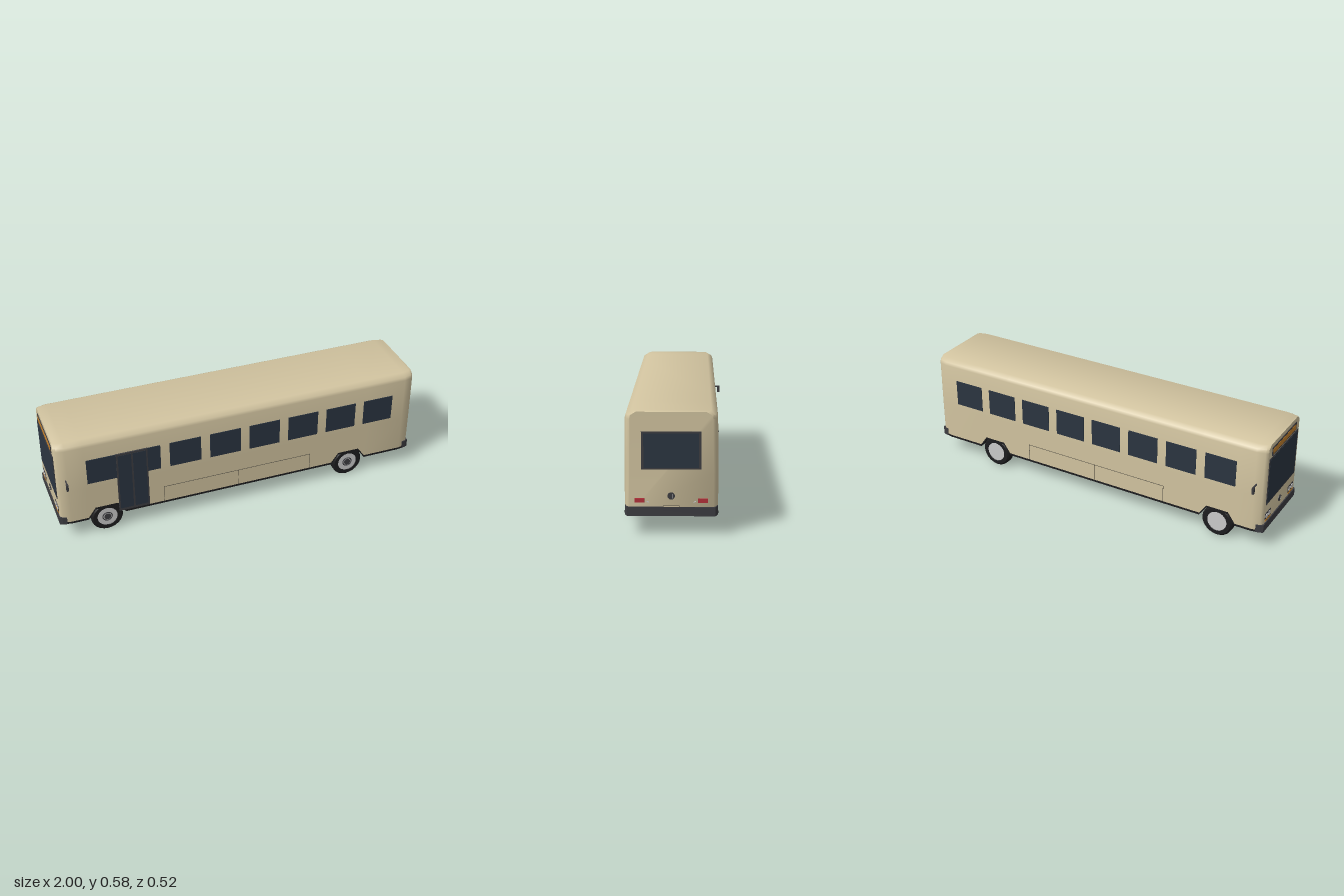
import * as THREE from 'three';
import { toCreasedNormals } from 'three/addons/utils/BufferGeometryUtils.js';

const paint = (color) => new THREE.MeshStandardMaterial({ color });
const BODY = paint(0xd2c4a0), GLASS = paint(0x2b3541), DARK = paint(0x3d3d41), BLACK = paint(0x1d1d1f),
  RED = paint(0xb5303a), ORANGE = paint(0xc4822e), METAL = paint(0xcccccc), LINE = paint(0x5c574a);
const WHEELS = [-0.75, 0.625];

function add(parent, name, geometry, material) {
  const mesh = new THREE.Mesh(geometry, material);
  mesh.name = name;
  parent.add(mesh);
  return mesh;
}

// Box given by its limits on each axis
function box(parent, name, material, x0, x1, y0, y1, z0, z1) {
  const mesh = add(parent, name, new THREE.BoxGeometry(x1 - x0, y1 - y0, Math.abs(z1 - z0)), material);
  mesh.position.set((x0 + x1) / 2, (y0 + y1) / 2, (z0 + z1) / 2);
  return mesh;
}

// Loft of rings of [y, z] points placed along x, closed at both ends
function loft(stations, ringAt) {
  const pos = [], index = [];
  const n = ringAt(stations[0]).length, last = (stations.length - 1) * n;
  stations.forEach((s) => ringAt(s).forEach(([y, z]) => pos.push(s.x, y, z)));
  for (let i = 0; i < stations.length - 1; i++) {
    for (let j = 0; j < n - 1; j++) {
      const a = i * n + j, b = a + n;
      index.push(a, b, b + 1, a, b + 1, a + 1);
    }
  }
  for (let j = 1; j < n - 1; j++) index.push(0, j, j + 1, last, last + j + 1, last + j);
  const g = new THREE.BufferGeometry();
  g.setAttribute('position', new THREE.Float32BufferAttribute(pos, 3));
  g.setIndex(index);
  return toCreasedNormals(g, 0.8);
}

// Stations: rounded corners at both ends, raised bottom over the wheels
function bodyStations() {
  const list = [];
  for (const [x, w] of [[0.994, 0.195], [0.982, 0.207], [0.94, 0.217]]) {
    list.push({ x, w, yb: 0.095 }, { x: -x, w, yb: 0.095 });
  }
  for (const c of WHEELS) {
    for (const [dx, yb] of [[0.1, 0.095], [0.06, 0.151]]) {
      list.push({ x: c - dx, w: 0.217, yb }, { x: c + dx, w: 0.217, yb });
    }
  }
  return list.sort((a, b) => a.x - b.x);
}

function buildShell(root) {
  const stations = bodyStations();
  add(root, 'bodyShell', loft(stations, ({ w, yb }) => {
    const half = [[yb + 0.005, w], [0.3, w], [0.55, w - 0.003], [0.567, w - 0.008], [0.583, w - 0.034]];
    return [...half, ...half.map(([y, z]) => [y, -z]).reverse()];
  }), BODY);
  // Dark underside with skirt edge, wheel arch lips and tunnels
  add(root, 'underside', loft(stations, ({ w, yb }) => {
    const e = w + 0.0015;
    return [[yb + 0.012, -e], [yb, -e], [yb, e], [yb + 0.012, e]];
  }), BLACK);
}

function buildSide(root, s) {
  const z0 = s * 0.205, z1 = s * 0.2185;
  for (let i = 0; i < 8; i++) {
    const x = -0.84 + i * 0.22;
    box(root, 'sideWindow', GLASS, x, x + 0.17, 0.325, 0.47, z0, z1);
  }
  // Luggage hatch outline
  const t = 0.002;
  box(root, 'hatchTopSeam', LINE, -0.44, 0.395, 0.199, 0.199 + t, z0, s * 0.219);
  for (const x of [-0.44, -0.023, 0.393]) box(root, 'hatchSeam', LINE, x, x + t, 0.105, 0.2, z0, s * 0.219);
  // Mirror on a short arm near the front
  box(root, 'mirrorArm', DARK, -0.953, -0.947, 0.369, 0.375, s * 0.21, s * 0.26);
  box(root, 'mirrorHead', DARK, -0.956, -0.945, 0.337, 0.373, s * 0.244, s * 0.259);
}

function buildDoor(root) {
  const door = new THREE.Group();
  door.name = 'door';
  root.add(door);
  box(door, 'doorFrame', DARK, -0.685, -0.52, 0.11, 0.472, 0.2, 0.223);
  for (const x of [-0.677, -0.598]) box(door, 'doorGlass', GLASS, x, x + 0.07, 0.125, 0.462, 0.21, 0.2245);
}

function buildWheel(root, x, s) {
  const wheel = new THREE.Group();
  wheel.name = 'wheel';
  const profile = [[0.05, -0.028], [0.076, -0.028], [0.085, -0.019], [0.085, 0.019], [0.076, 0.028], [0.056, 0.028], [0.05, 0.022]]
    .map(([r, y]) => new THREE.Vector2(r, y));
  add(wheel, 'tyre', toCreasedNormals(new THREE.LatheGeometry(profile, 24), 0.5), BLACK);
  add(wheel, 'rim', new THREE.CylinderGeometry(0.055, 0.055, 0.052, 24), METAL);
  if (s > 0) {
    const ring = add(wheel, 'hubRing', new THREE.TorusGeometry(0.025, 0.003, 6, 20), DARK);
    ring.rotation.x = Math.PI / 2;
    ring.position.y = 0.026;
    add(wheel, 'hub', new THREE.CylinderGeometry(0.018, 0.018, 0.058, 16), DARK);
  }
  wheel.rotation.x = s * Math.PI / 2;
  wheel.position.set(x, 0.086, s * 0.188);
  root.add(wheel);
}

// Parts shared by both ends, built facing +x
function buildEnd(root, name) {
  const end = new THREE.Group();
  end.name = name;
  root.add(end);
  const half = [[0.962, 0.216], [0.985, 0.211], [1, 0.203]];
  const plan = [...half, ...half.map(([x, z]) => [x, -z]).reverse()].map((p) => new THREE.Vector2(...p));
  const bumper = new THREE.ExtrudeGeometry(new THREE.Shape(plan), { depth: 0.043, bevelEnabled: false });
  add(end, 'bumper', bumper.rotateX(-Math.PI / 2).translate(0, 0.095, 0), DARK);
  const latch = add(end, 'latchDisc', new THREE.CylinderGeometry(0.017, 0.017, 0.006, 20), DARK);
  latch.rotation.z = Math.PI / 2;
  latch.position.set(0.995, 0.19, 0);
  box(end, 'latchHandle', METAL, 0.995, 0.9995, 0.18, 0.2, -0.007, -0.004);
  return end;
}

function buildRear(root) {
  const rear = buildEnd(root, 'rear');
  box(rear, 'rearWindowFrame', DARK, 0.985, 0.997, 0.315, 0.492, -0.138, 0.138);
  box(rear, 'rearWindow', GLASS, 0.985, 0.998, 0.323, 0.484, -0.127, 0.127);
  box(rear, 'plateRecess', LINE, 0.985, 0.9945, 0.136, 0.144, -0.037, 0.037);
  box(rear, 'plateInset', BODY, 0.985, 0.995, 0.136, 0.142, -0.035, 0.035);
  for (const s of [-1, 1]) {
    box(rear, 'tailLight', RED, 0.985, 0.998, 0.158, 0.178, s * 0.124, s * 0.168);
    const handle = box(rear, 'panelHandle', METAL, 0.99, 0.997, 0.16, 0.164, s * 0.102, s * 0.114);
    handle.rotation.x = 0.5 * -s;
  }
}

function buildFront(root) {
  const front = buildEnd(root, 'front');
  front.rotation.y = Math.PI;
  box(front, 'windscreenFrame', DARK, 0.985, 0.997, 0.245, 0.507, -0.18, 0.18);
  box(front, 'windscreen', GLASS, 0.985, 0.998, 0.253, 0.499, -0.172, 0.172);
  box(front, 'signFrame', DARK, 0.985, 0.997, 0.515, 0.56, -0.152, 0.152);
  box(front, 'signPanel', ORANGE, 0.985, 0.998, 0.522, 0.552, -0.143, 0.143);
  for (const s of [-1, 1]) {
    box(front, 'headlightSurround', DARK, 0.985, 0.996, 0.156, 0.192, s * 0.112, s * 0.18);
    box(front, 'indicator', ORANGE, 0.985, 0.998, 0.147, 0.157, s * 0.115, s * 0.177);
    for (const z of [0.13, 0.162]) {
      const lamp = add(front, 'headlight', new THREE.CylinderGeometry(0.0135, 0.0135, 0.006, 16), METAL);
      lamp.rotation.z = Math.PI / 2;
      lamp.position.set(0.995, 0.174, s * z);
    }
  }
}

export function createModel() {
  const root = new THREE.Group();
  root.name = 'bus';
  buildShell(root);
  buildDoor(root);
  buildRear(root);
  buildFront(root);
  for (const s of [-1, 1]) {
    buildSide(root, s);
    for (const x of WHEELS) buildWheel(root, x, s);
  }
  return root;
}
